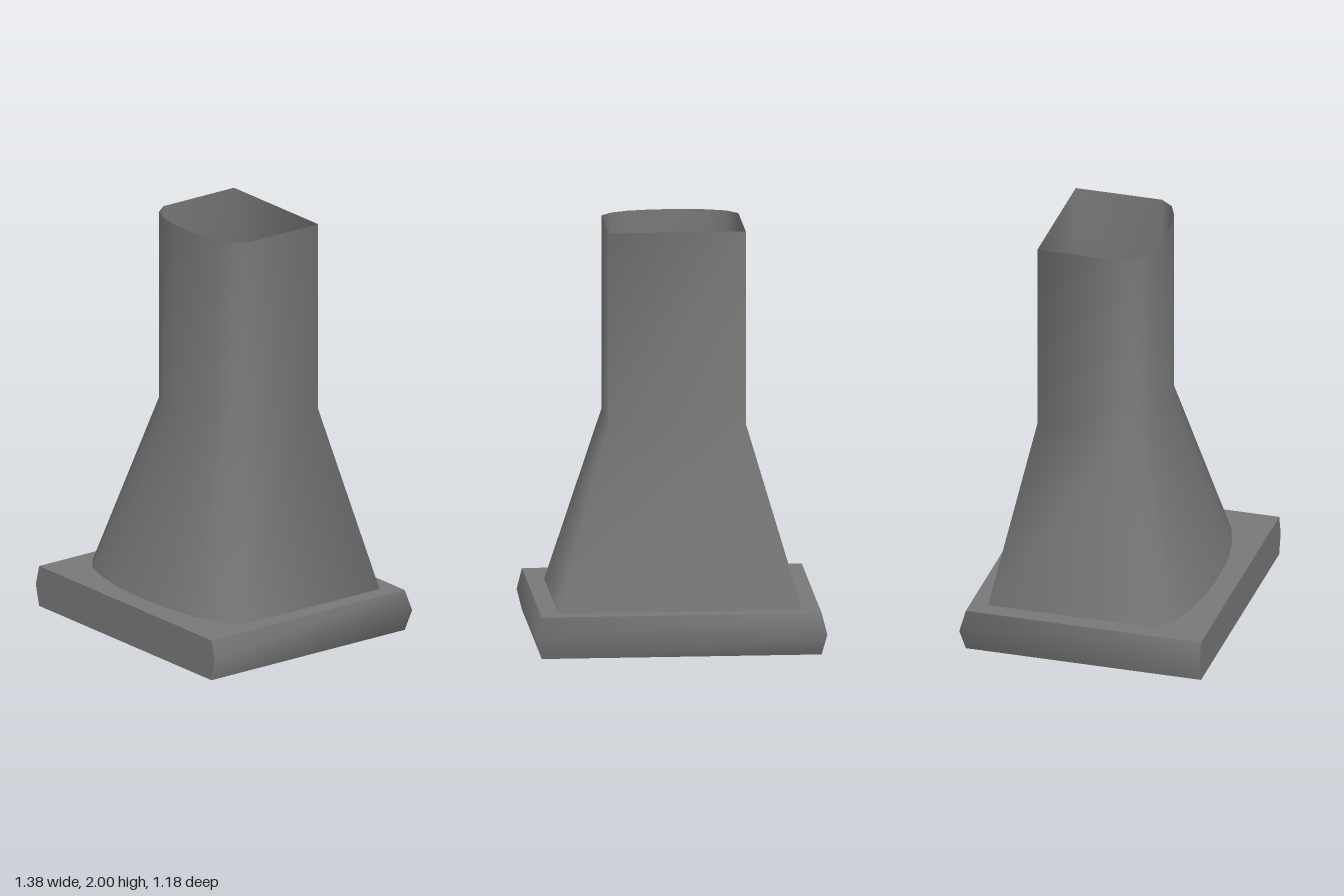
import * as THREE from 'three';

// Smooth surface through stacked cross-sections, each a list of [x, z] at height y
function loft(rings, closed) {
  const n = rings[0].points.length;
  const pos = [], index = [];
  for (const { y, points } of rings) for (const [x, z] of points) pos.push(x, y, z);
  for (let r = 0; r < rings.length - 1; r++) {
    for (let i = 0; i < (closed ? n : n - 1); i++) {
      const a = r * n + i, b = r * n + (i + 1) % n;
      index.push(a, a + n, b, b, a + n, b + n);
    }
  }
  const g = new THREE.BufferGeometry();
  g.setAttribute('position', new THREE.Float32BufferAttribute(pos, 3));
  g.setIndex(index);
  g.computeVertexNormals();
  return g;
}

// Mirrored section: straight back and sides, bowed front; half runs from +x back to front centre
function section(half) {
  const mirrored = half.slice(0, -1).reverse().map(([x, z]) => [-x, z]);
  return [...half, ...mirrored];
}

export function createModel() {
  const group = new THREE.Group();
  const metal = new THREE.MeshStandardMaterial({ color: 0x787878, side: THREE.DoubleSide });
  metal.name = 'grey metal';
  const add = (name, geometry) => {
    const mesh = new THREE.Mesh(geometry, metal);
    mesh.name = name;
    group.add(mesh);
    return mesh;
  };

  const duct = section([[0.325, -0.31], [0.325, 0.115], [0.275, 0.178], [0.195, 0.213], [0.1, 0.23], [0, 0.235]]);
  const mouth = section([[0.58, -0.48], [0.58, 0.34], [0.49, 0.41], [0.345, 0.455], [0.18, 0.483], [0, 0.49]]);

  // Open duct flaring into the canopy
  add('ductAndCanopy', loft([
    { y: 0.2, points: mouth }, { y: 1.07, points: duct }, { y: 2, points: duct },
  ], true));

  // Inner wall of the base opening
  add('innerWall', loft([{ y: 0, points: mouth }, { y: 0.2, points: mouth }], true));

  // Base skirt: bulging sides and back
  const front = 0.595;
  const skirt = (x, back) => [[-x, front], [-x, back], [x, back], [x, front]];
  add('baseSkirt', loft([
    { y: 0, points: skirt(0.665, -0.565) },
    { y: 0.1, points: skirt(0.69, -0.59) },
    { y: 0.2, points: skirt(0.665, -0.565) },
  ], false));

  // Flat front panel with pointed ends
  const panel = [[-0.665, 0], [0.665, 0], [0.69, 0.1], [0.665, 0.2], [-0.665, 0.2], [-0.69, 0.1]];
  add('baseFront', new THREE.ShapeGeometry(
    new THREE.Shape(panel.map(([x, y]) => new THREE.Vector2(x, y))))).position.z = front;

  // Top and bottom rims around the opening
  const toShape = ([x, z]) => new THREE.Vector2(x, -z);
  const rim = new THREE.Shape(skirt(0.665, -0.565).map(toShape));
  rim.holes.push(new THREE.Path(mouth.map(toShape)));
  const topRim = new THREE.ShapeGeometry(rim).rotateX(-Math.PI / 2);
  add('baseTopRim', topRim).position.y = 0.2;

  // The bottom rim is the same outline facing down
  const bottomRim = topRim.clone();
  const idx = bottomRim.index.array;
  for (let i = 0; i < idx.length; i += 3) [idx[i], idx[i + 1]] = [idx[i + 1], idx[i]];
  bottomRim.computeVertexNormals();
  add('baseBottomRim', bottomRim);

  return group;
}
